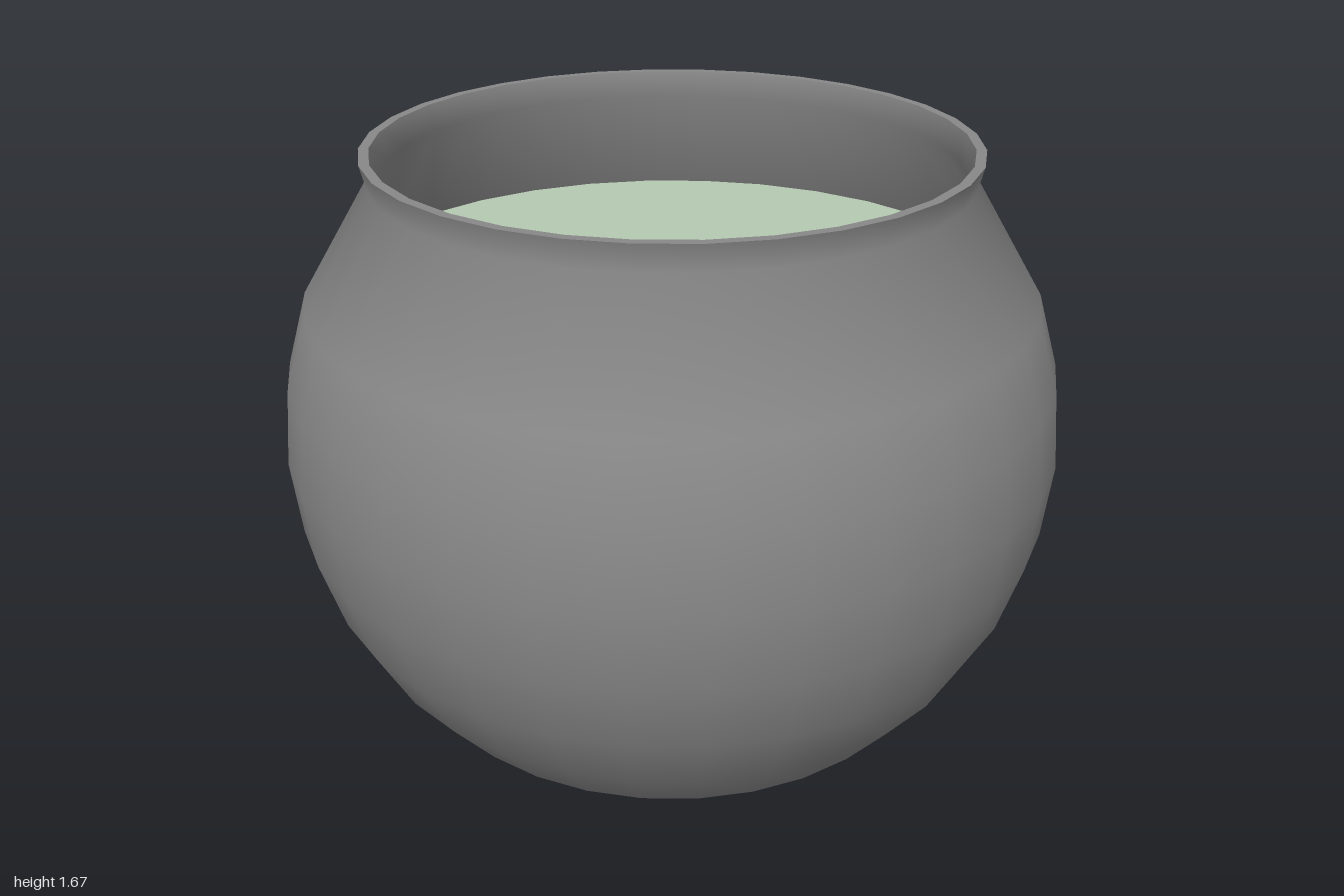
import * as THREE from 'three';
import { toCreasedNormals } from 'three/addons/utils/BufferGeometryUtils.js';

const SIDES = 32;
const STEP = (Math.PI * 2) / SIDES;
const CENTRE_Y = 0.923;

// Points of a round belly, from ring index a up to ring index b (0 = equator)
function bellyArc(radius, a, b) {
  const points = [];
  for (let i = a; i <= b; i++) {
    points.push(new THREE.Vector2(radius * Math.cos(i * STEP), CENTRE_Y + radius * Math.sin(i * STEP)));
  }
  return points;
}

function addMesh(group, name, geometry, color) {
  const mesh = new THREE.Mesh(geometry, new THREE.MeshStandardMaterial({ color }));
  mesh.name = name;
  group.add(mesh);
  return mesh;
}

export function createModel() {
  const group = new THREE.Group();
  group.name = 'pot';
  const potColor = 0x888888;

  // Outer wall, flared lip and inner wall as one turned shell
  const profile = [
    ...bellyArc(1, -6, 2),
    new THREE.Vector2(0.743, 1.6),
    new THREE.Vector2(0.76, 1.668),
    new THREE.Vector2(0.735, 1.668),
    new THREE.Vector2(0.72, 1.6),
    ...bellyArc(0.975, -6, 2).reverse(),
    new THREE.Vector2(0, 0.025),
  ];
  profile[0].y = 0;
  const shell = new THREE.LatheGeometry(profile, SIDES);
  addMesh(group, 'potShell', toCreasedNormals(shell, THREE.MathUtils.degToRad(55)), potColor);

  // Flat foot
  const base = addMesh(group, 'base', new THREE.CircleGeometry(profile[0].x, SIDES), potColor);
  base.rotation.x = Math.PI / 2;

  // Contents, a flat disc just below the neck
  const liquid = addMesh(group, 'liquidSurface', new THREE.CircleGeometry(0.9, SIDES), 0xb5c9b1);
  liquid.rotation.x = -Math.PI / 2;
  liquid.position.y = 1.295;

  return group;
}
